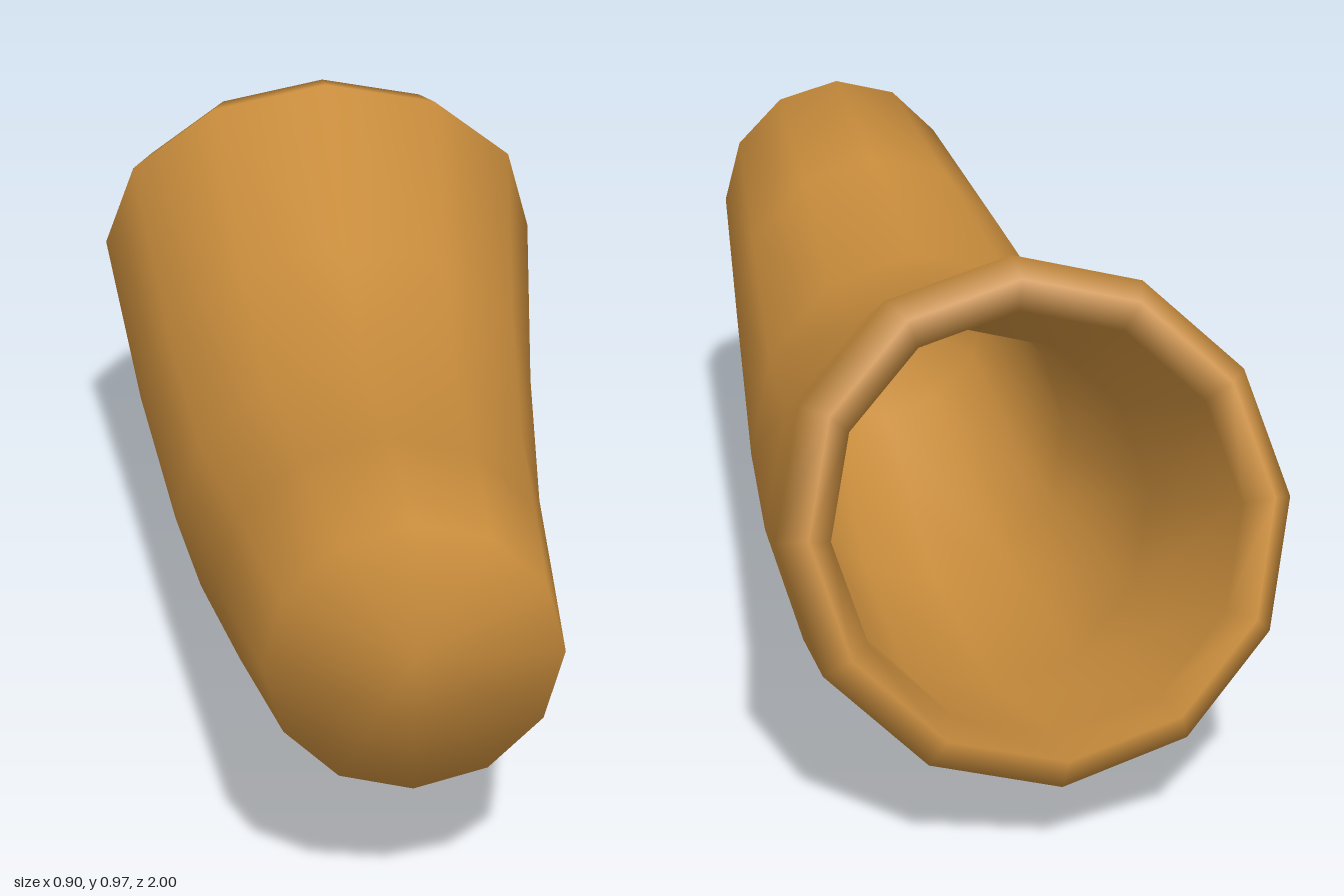
import * as THREE from 'three';

const SIDES = 12;

// Each ring: top [z, y], bottom [z, y], half width in x
const rings = [
  [[1, 0.572], [1, 0.572], 0], // closed front end
  [[1, 0.825], [1, 0.32], 0.25],
  [[0.6, 0.775], [0.52, 0.155], 0.3],
  [[0.18, 0.712], [0, 0], 0.352],
  [[-0.2, 0.78], [-0.5, 0.013], 0.4],
  [[-0.575, 0.972], [-0.96, 0.15], 0.452],
  [[-0.65, 0.955], [-1, 0.22], 0.405], // crest of the rim
  [[-0.63, 0.89], [-0.94, 0.24], 0.36], // inner lip
  [[-0.24, 0.71], [-0.47, 0.09], 0.325], // inner wall
  [[0.16, 0.64], [0.02, 0.08], 0.28],
  [[0.55, 0.69], [0.5, 0.24], 0.22],
  [[0.53, 0.465], [0.53, 0.465], 0], // inner end
];

// Skin the rings into one smooth closed surface
function loft(sections) {
  const pos = [], index = [];
  for (const [[tz, ty], [bz, by], w] of sections) {
    for (let j = 0; j < SIDES; j++) {
      const a = (j / SIDES) * Math.PI * 2;
      const c = Math.cos(a) / 2;
      pos.push(w * Math.sin(a), (ty + by) / 2 + (ty - by) * c, (tz + bz) / 2 + (tz - bz) * c);
    }
  }
  for (let i = 0; i < sections.length - 1; i++) {
    for (let j = 0; j < SIDES; j++) {
      const k = (j + 1) % SIDES;
      const a = i * SIDES + j, b = i * SIDES + k;
      const c = a + SIDES, d = b + SIDES;
      if (sections[i][2] > 0) index.push(a, b, c);
      if (sections[i + 1][2] > 0) index.push(b, d, c);
    }
  }
  const g = new THREE.BufferGeometry();
  g.setAttribute('position', new THREE.Float32BufferAttribute(pos, 3));
  g.setIndex(index);
  g.computeVertexNormals();
  return g;
}

export function createModel() {
  const group = new THREE.Group();
  group.name = 'bentTube';
  const material = new THREE.MeshStandardMaterial({ color: 0xc88c3c });
  const body = new THREE.Mesh(loft(rings), material);
  body.name = 'hollowBody';
  group.add(body);
  return group;
}
